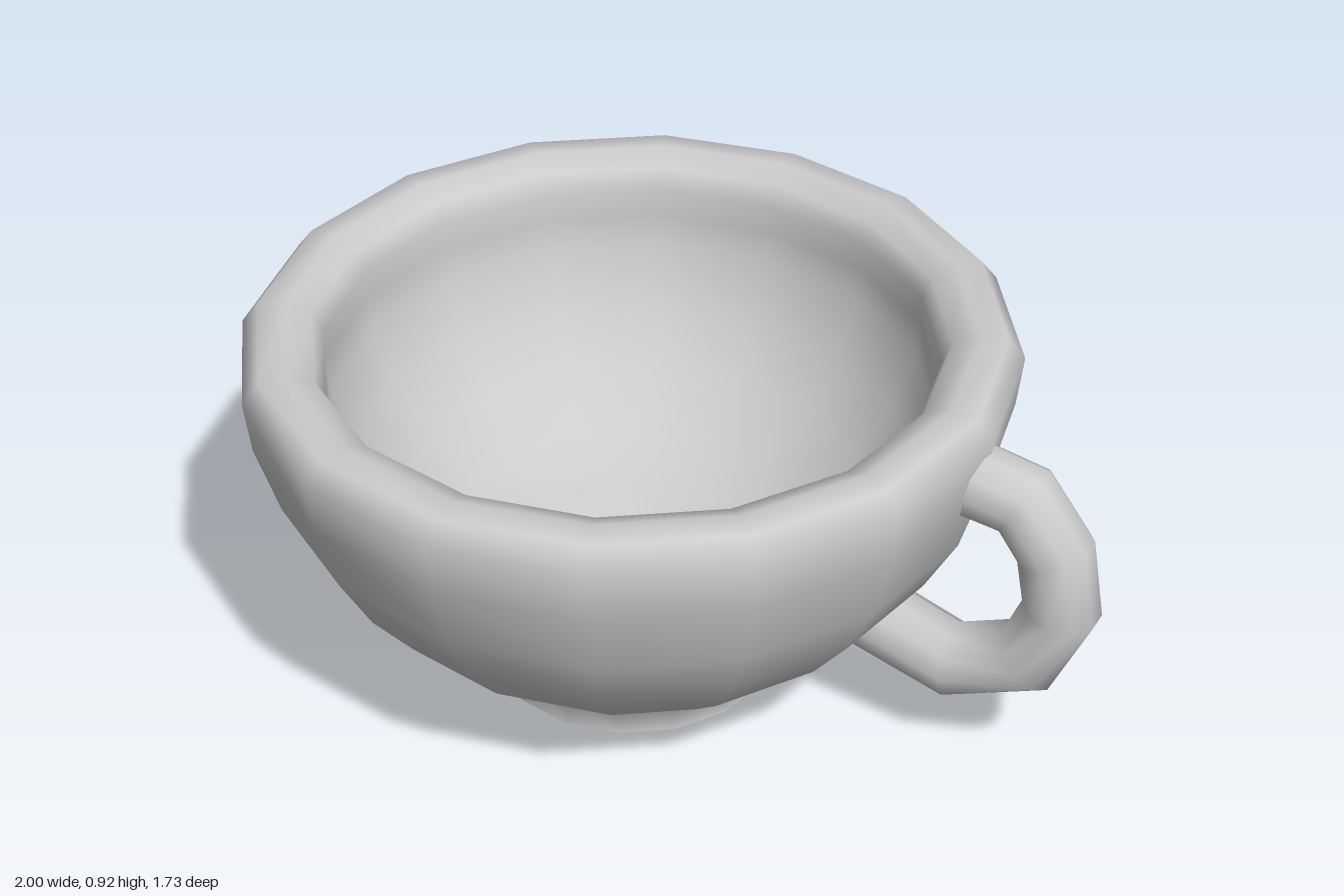
import * as THREE from 'three';

const SIDES = 16;
const TURN = 0.148; // the cup and its handle are turned slightly about the axis

export function createModel() {
  const model = new THREE.Group();
  model.name = 'teacup';
  model.position.x = -0.135;
  const material = new THREE.MeshStandardMaterial({ color: 0xcccccc, side: THREE.DoubleSide });

  const add = (name, geometry) => {
    const mesh = new THREE.Mesh(geometry, material);
    mesh.name = name;
    mesh.rotation.y = TURN;
    model.add(mesh);
  };
  const lathe = (profile) =>
    new THREE.LatheGeometry(profile.map(([r, y]) => new THREE.Vector2(r, y)), SIDES);

  // Foot wall, outer bowl, rolled rim and inner bowl, ending at a pinhole in the floor
  add('bowl', lathe([
    [0.337, 0], [0.337, 0.09], [0.49, 0.18], [0.63, 0.3], [0.733, 0.428],
    [0.81, 0.567], [0.862, 0.738], [0.876, 0.86], [0.838, 0.909], [0.775, 0.915],
    [0.715, 0.89], [0.694, 0.84], [0.695, 0.77], [0.688, 0.69], [0.64, 0.555],
    [0.55, 0.43], [0.43, 0.325], [0.3, 0.25], [0.012, 0.19], [0.012, 0.13],
  ]));

  // Slightly hollow underside of the foot, meeting the pinhole
  add('footBase', lathe([[0.012, 0.13], [0.012, 0.08], [0.337, 0]]));

  // Handle: a coarse ring-shaped tube in the radial plane, ends buried in the wall
  const path = new THREE.CatmullRomCurve3([
    [0.81, 0.76], [0.955, 0.737], [1.035, 0.63], [1.06, 0.485],
    [0.993, 0.33], [0.815, 0.253], [0.6, 0.32],
  ].map(([x, y]) => new THREE.Vector3(x, y, 0)));
  // Place the tube rings exactly on the control points
  path.getPointAt = path.getPoint;
  path.getTangentAt = path.getTangent;
  add('handle', new THREE.TubeGeometry(path, path.points.length - 1, 0.088, 10));

  return model;
}
